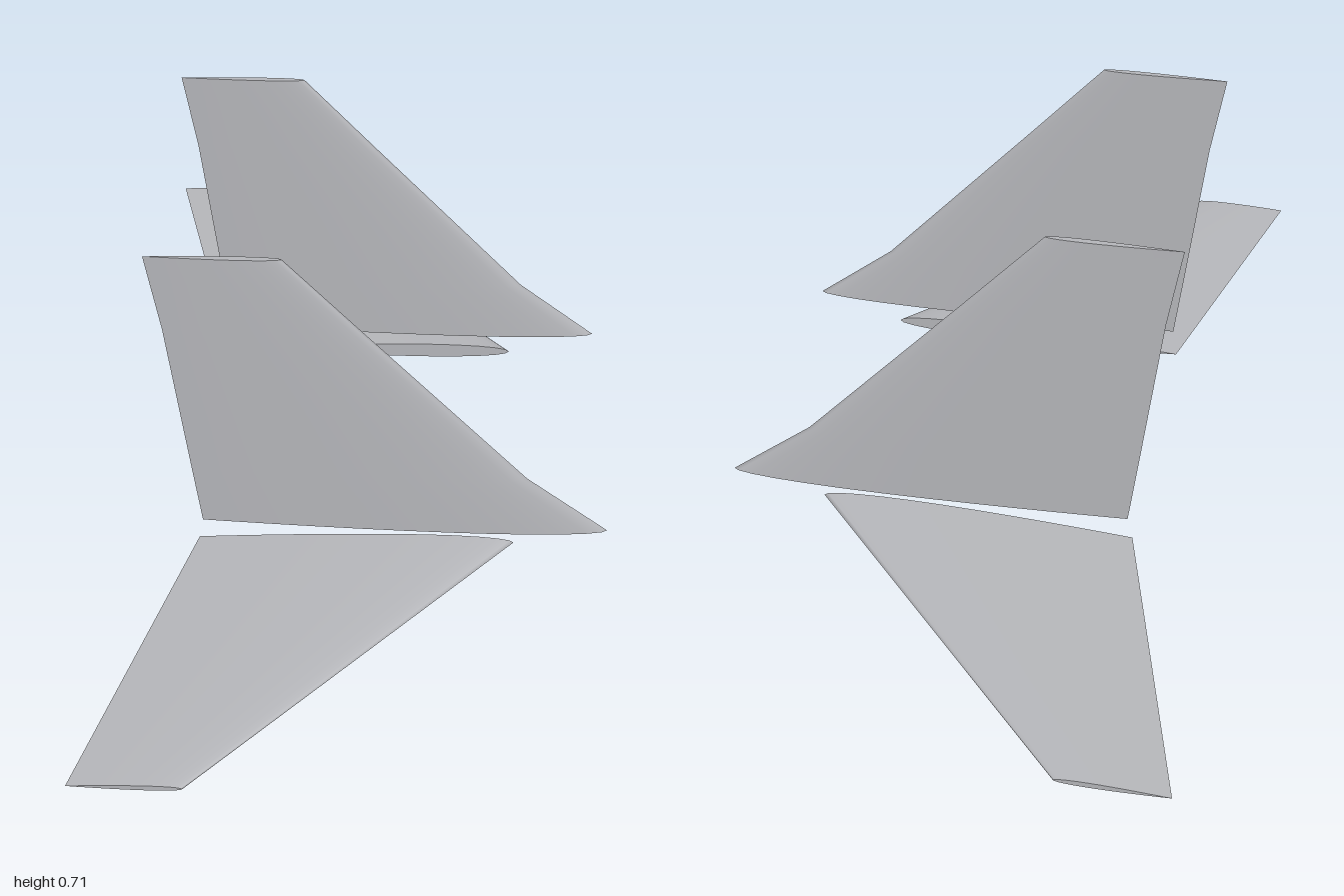
import * as THREE from 'three';

const STEPS = 14;

// Airfoil loop as [chord fraction from nose, half thickness]: tail, over the nose, back to tail
function airfoil(thickness) {
  const pts = [];
  for (let j = 0; j <= 2 * STEPS; j++) {
    const c = (1 + Math.cos((Math.PI * j) / STEPS)) / 2;
    const h = 5 * thickness * (0.2969 * Math.sqrt(c) - 0.126 * c - 0.3516 * c ** 2 + 0.2843 * c ** 3 - 0.1036 * c ** 4);
    pts.push([c, j <= STEPS ? h : -h]);
  }
  return pts;
}

// Lofts airfoil sections { span, lead, trail, leadOff, trailOff } and caps both ends.
// place(chord, span, offset) maps to [x, y, z]; flip reverses the winding.
function loft(sections, thickness, place, flip) {
  const foil = airfoil(thickness);
  const n = foil.length;
  const pos = [];
  const index = [];
  const tri = (a, b, c) => (flip ? index.push(a, c, b) : index.push(a, b, c));
  const addRing = ({ span, lead, trail, leadOff = 0, trailOff = 0 }) => {
    const start = pos.length / 3;
    for (const [c, h] of foil) {
      const off = leadOff + (trailOff - leadOff) * c + h * (lead - trail);
      pos.push(...place(lead + (trail - lead) * c, span, off));
    }
    return start;
  };

  // Skin
  const rings = sections.map(addRing);
  for (let i = 0; i < rings.length - 1; i++) {
    for (let j = 0; j < n - 1; j++) {
      const a = rings[i] + j;
      const b = rings[i + 1] + j;
      tri(a, a + 1, b);
      tri(a + 1, b + 1, b);
    }
  }
  // Flat root and tip caps with their own vertices
  const root = addRing(sections[0]);
  const tip = addRing(sections[sections.length - 1]);
  for (let j = 1; j < n - 2; j++) {
    tri(root, root + j + 1, root + j);
    tri(tip, tip + j, tip + j + 1);
  }

  const geo = new THREE.BufferGeometry();
  geo.setAttribute('position', new THREE.Float32BufferAttribute(pos, 3));
  geo.setIndex(index);
  geo.computeVertexNormals();
  return geo;
}

export function createModel() {
  const group = new THREE.Group();
  const grey = new THREE.MeshStandardMaterial({ color: 0xb4b5b9 });
  grey.name = 'light grey';

  const add = (name, geo) => {
    const mesh = new THREE.Mesh(geo, grey);
    mesh.name = name;
    group.add(mesh);
  };

  const finSections = [
    { span: 0.067, lead: 0.502, trail: -0.318 },
    { span: 0.198, lead: 0.335, trail: -0.334 },
    { span: 0.545, lead: 0.012, trail: -0.375 },
    { span: 0.713, lead: -0.143, trail: -0.403 },
  ];
  const stabilizerSections = [
    { span: 0.325, lead: 0.315, trail: -0.328, leadOff: 0.018, trailOff: 0.012 },
    { span: 1, lead: -0.29, trail: -0.502, leadOff: 0.01, trailOff: 0.009 },
  ];

  for (const side of [1, -1]) {
    const label = side > 0 ? 'left' : 'right';
    // Upright fin with a swept leading edge and a kinked root
    add(label + 'Fin', loft(finSections, 0.05, (c, s, o) => [c, s, side * 0.335 + o], false));
    // Horizontal tail surface reaching outward
    add(label + 'Stabilizer', loft(stabilizerSections, 0.054, (c, s, o) => [c, o, side * s], side > 0));
  }
  return group;
}
